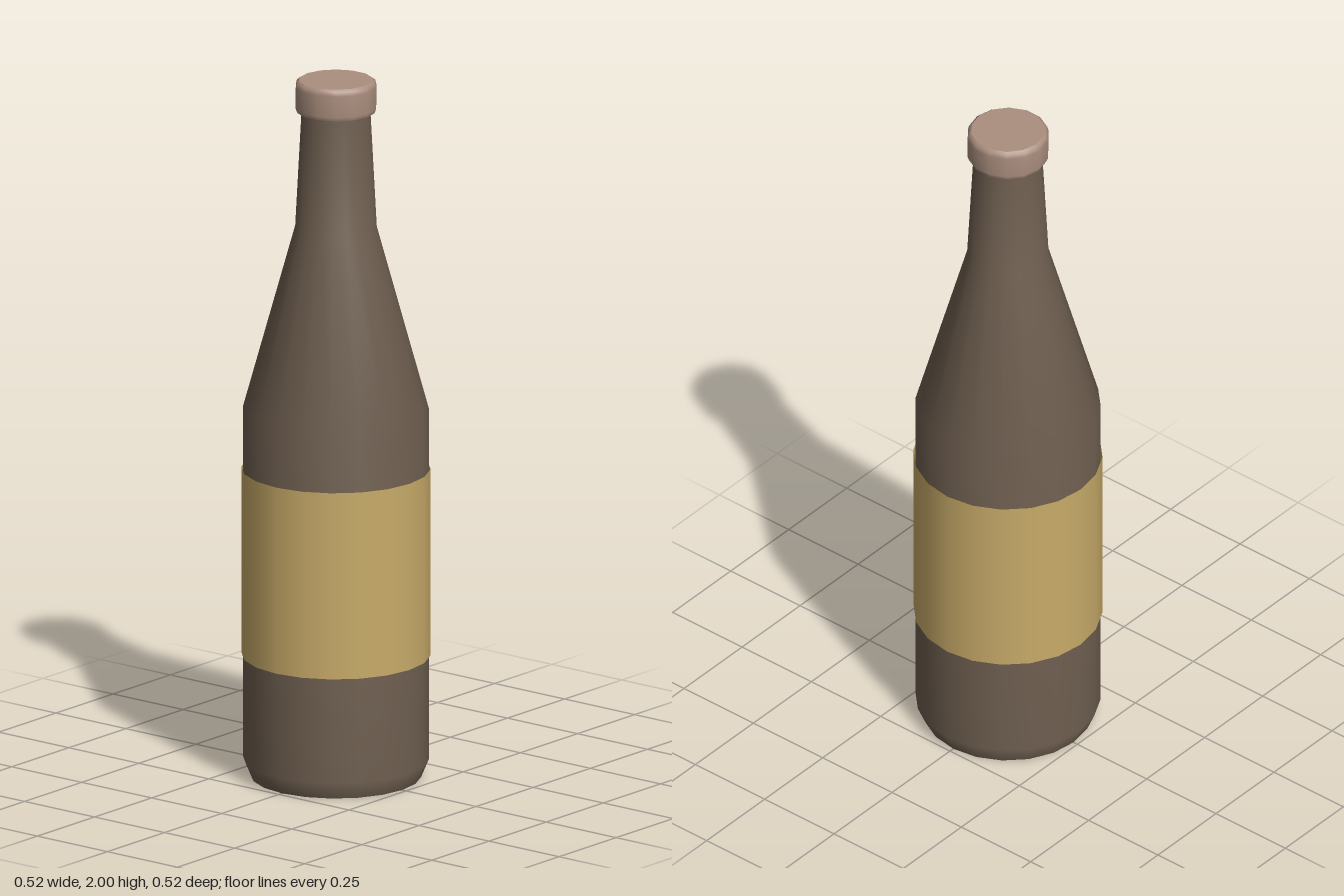
import * as THREE from 'three';

const glass = new THREE.MeshStandardMaterial({ name: 'brownGlass', color: 0x6f5f50 });
const paper = new THREE.MeshStandardMaterial({ name: 'tanLabel', color: 0xc8ab69, side: THREE.DoubleSide });
const capMetal = new THREE.MeshStandardMaterial({ name: 'dustyCap', color: 0xab8f7f });

export function createModel() {
  const model = new THREE.Group();
  model.name = 'bottle';

  const add = (name, geometry, material) => {
    const mesh = new THREE.Mesh(geometry, material);
    mesh.name = name;
    model.add(mesh);
    return mesh;
  };
  // Profiles run from bottom to top as [radius, height]
  const lathe = (profile, sides) =>
    new THREE.LatheGeometry(profile.map(([r, y]) => new THREE.Vector2(r, y)), sides);

  // Bevelled foot, straight body, sloped shoulder and tapering neck
  add('bottleBody', lathe([
    [0.236, 0], [0.257, 0.05], [0.257, 1.06], [0.113, 1.58], [0.095, 1.92],
  ], 20), glass);

  // Flat underside, its corners matching the body
  const base = add('bottleBase', new THREE.CircleGeometry(0.236, 20), glass);
  base.rotation.x = Math.PI / 2;

  // Open paper sleeve around the body
  const label = add('label', new THREE.CylinderGeometry(0.262, 0.262, 0.535, 20, 1, true), paper);
  label.position.y = 0.617;

  // Cap: flat underside, then a side with rounded rim, then a flat top
  add('capUnderside', lathe([[0.08, 1.91], [0.109, 1.91]], 14), capMetal);
  add('capSide', lathe([
    [0.109, 1.91], [0.114, 1.922], [0.114, 1.982], [0.111, 1.994], [0.103, 2],
  ], 14), capMetal);
  add('capTop', lathe([[0.103, 2], [0, 2]], 14), capMetal);

  return model;
}
